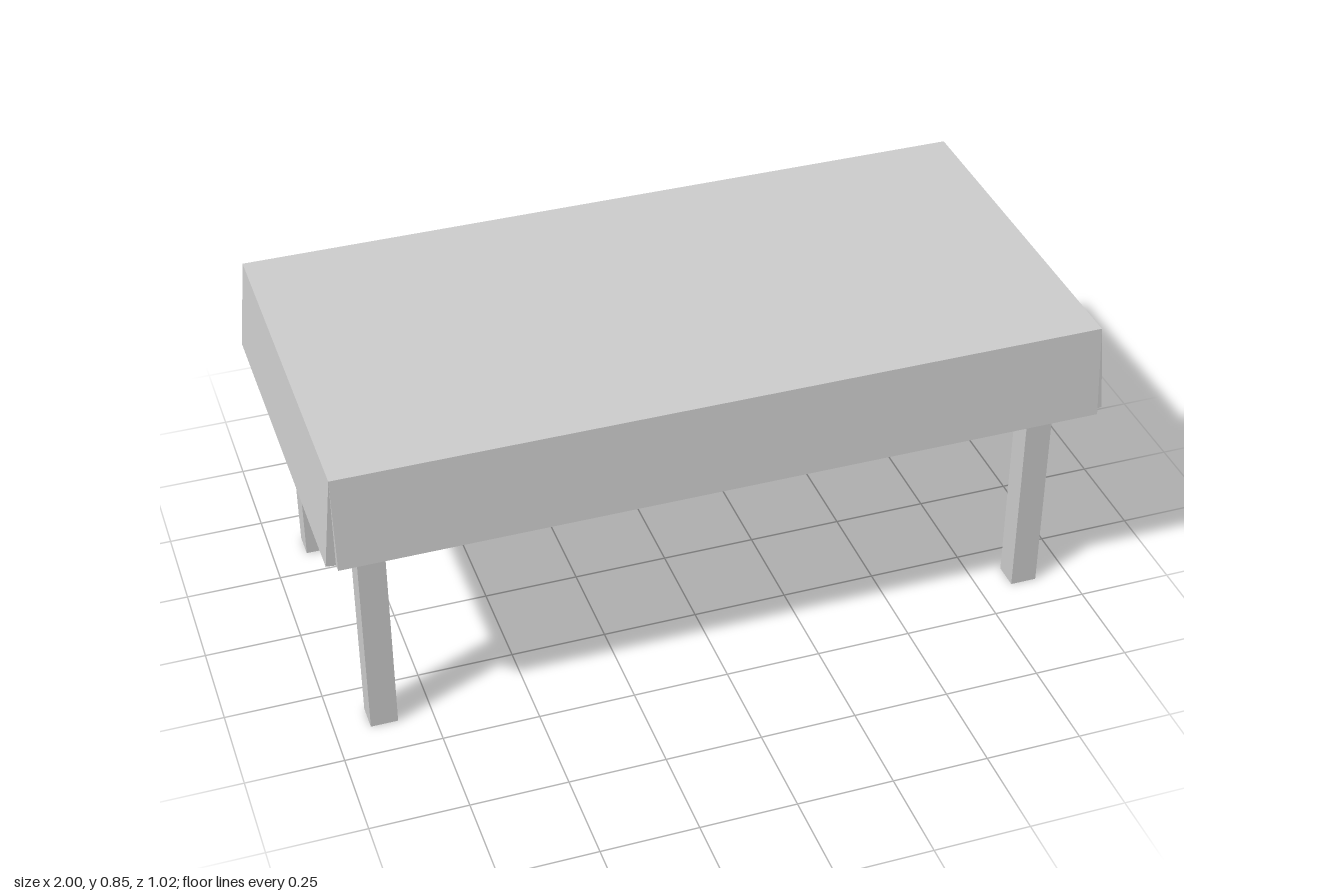
import * as THREE from 'three';

const material = new THREE.MeshStandardMaterial({ color: 0xcccccc, flatShading: true });

function box(name, w, h, d, x = 0, y = 0, z = 0) {
  const mesh = new THREE.Mesh(new THREE.BoxGeometry(w, h, d), material);
  mesh.name = name;
  mesh.position.set(x, y, z);
  return mesh;
}

const TOP = 0.845, HALF_X = 0.975, HALF_Z = 0.488, THICK = 0.025;
const UNDER = TOP - THICK;

// Hanging panel hinged on its outer top edge and tilted outward
function createFlap(name, length, distance, turn) {
  const drop = 0.244, tilt = 0.1;
  const geometry = new THREE.BoxGeometry(length, drop, THICK);
  geometry.translate(0, -drop / 2, -THICK / 2);
  geometry.rotateX(-tilt);
  geometry.translate(0, TOP, distance);
  geometry.rotateY(turn);
  const flap = new THREE.Mesh(geometry, material);
  flap.name = name;
  return flap;
}

// Diagonal brace running from the post up to the tabletop along local +x
function createBrace(name, turn) {
  const start = new THREE.Vector2(0.02, 0.65), end = new THREE.Vector2(0.165, UNDER - 0.008);
  const run = end.clone().sub(start);
  const mid = start.clone().add(end).multiplyScalar(0.5);
  const brace = new THREE.Group();
  const bar = box('braceBar', run.length(), 0.03, 0.035, mid.x, mid.y, 0);
  bar.rotation.z = run.angle();
  brace.name = name;
  brace.add(bar);
  brace.rotation.y = turn;
  return brace;
}

// Square post with a collar and two braces pointing toward the table centre
function createLeg(name, sx, sz) {
  const leg = new THREE.Group();
  leg.name = name;
  leg.add(
    box('post', 0.07, UNDER, 0.07, 0, UNDER / 2, 0),
    box('collar', 0.1, 0.028, 0.1, 0, 0.643, 0),
    createBrace('lengthwiseBrace', sx > 0 ? Math.PI : 0),
    createBrace('crosswiseBrace', sz > 0 ? Math.PI / 2 : -Math.PI / 2)
  );
  leg.position.set(sx * 0.875, 0, sz * 0.366);
  return leg;
}

export function createModel() {
  const table = new THREE.Group();
  table.name = 'table';

  // Tabletop with four splayed side panels, open at the corners
  table.add(
    box('tabletop', HALF_X * 2, THICK, HALF_Z * 2, 0, TOP - THICK / 2, 0),
    createFlap('frontFlap', HALF_X * 2, HALF_Z, 0),
    createFlap('leftFlap', HALF_Z * 2, HALF_X, Math.PI / 2),
    createFlap('backFlap', HALF_X * 2, HALF_Z, Math.PI),
    createFlap('rightFlap', HALF_Z * 2, HALF_X, -Math.PI / 2)
  );

  // Legs
  for (const sx of [-1, 1]) {
    for (const sz of [-1, 1]) {
      table.add(createLeg((sz > 0 ? 'front' : 'back') + (sx > 0 ? 'Left' : 'Right') + 'Leg', sx, sz));
    }
  }
  return table;
}
